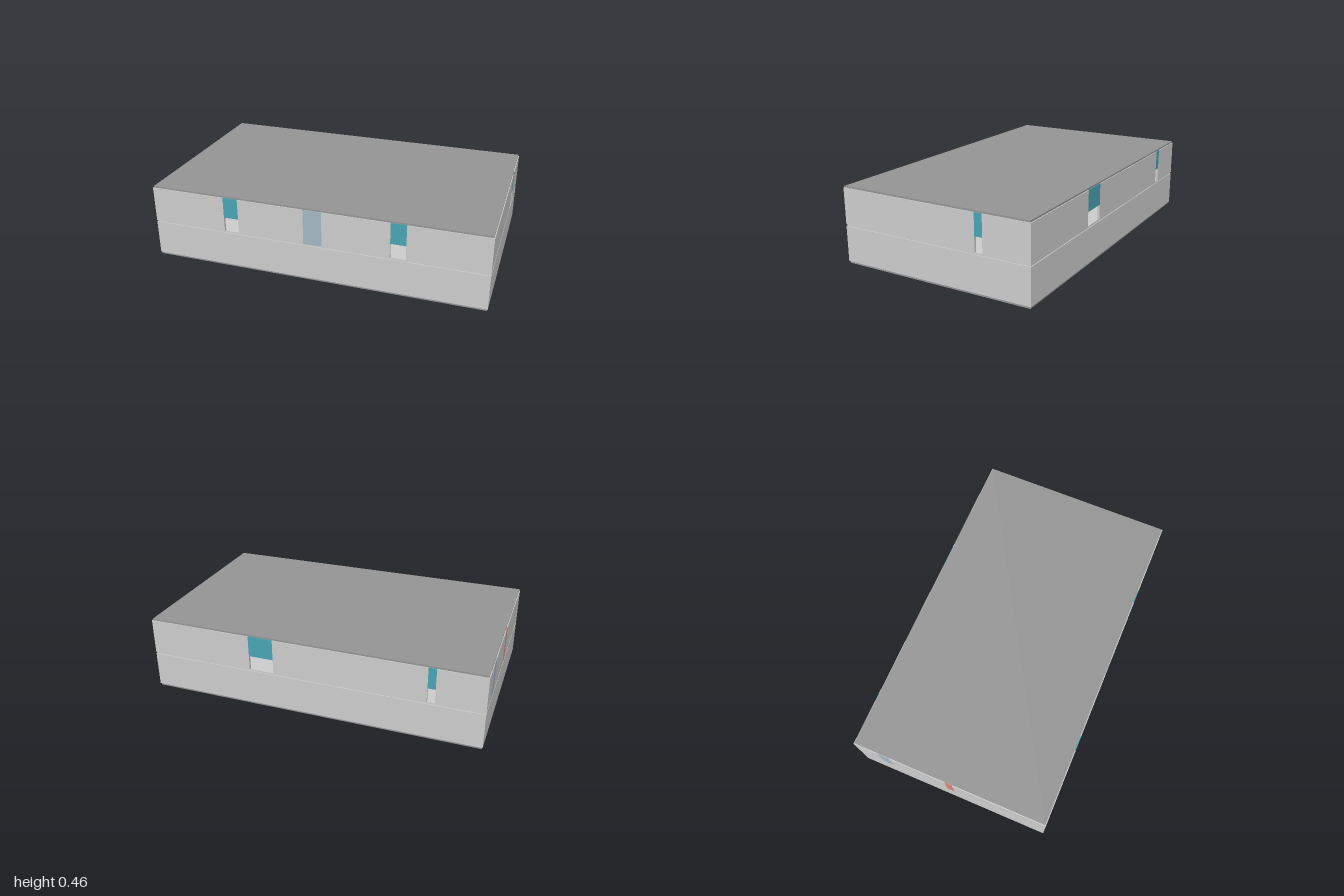
import * as THREE from 'three';

const mat = (color) => new THREE.MeshStandardMaterial({ color });
const MATS = {
  wall: mat(0xcccccc), slab: mat(0x949494), teal: mat(0x48a3b3),
  glass: mat(0xa4b7c1), red: mat(0xd88078),
};
const HX = 1, HZ = 0.594, T = 0.015;           // half length, half depth, wall thickness
const INSET = 0.005, LINTEL = 0.32;            // slab setback, height of door heads
const LOWER = [0.012, 0.222], UPPER = [0.232, 0.445];

// Box given by its lower and upper limits on each axis
function box(name, material, [x0, x1], [y0, y1], [z0, z1]) {
  const mesh = new THREE.Mesh(new THREE.BoxGeometry(x1 - x0, y1 - y0, z1 - z0), material);
  mesh.position.set((x0 + x1) / 2, (y0 + y1) / 2, (z0 + z1) / 2);
  mesh.name = name;
  return mesh;
}

// Wall running along local x with its outer face at +z; bays are sorted by start
function wall(name, half, reach, level, bays, angle) {
  const group = new THREE.Group();
  group.name = name;
  const depth = [reach - T, reach];
  let start = -half;
  for (const { from, to, kind } of bays) {
    group.add(box('wallSection', MATS.wall, [start, from], level, depth));
    if (kind === 'door') {
      group.add(box('doorHead', MATS.teal, [from, to], [LINTEL, level[1]], depth));
    } else {
      group.add(box(kind + 'Panel', MATS[kind], [from, to], level, depth));
    }
    start = to;
  }
  group.add(box('wallSection', MATS.wall, [start, half], level, depth));
  group.rotation.y = angle;
  return group;
}

// Four walls closing one storey
function storey(name, level, bays) {
  const group = new THREE.Group();
  group.name = name;
  group.add(
    wall('frontWall', HX, HZ, level, bays.front, 0),
    wall('backWall', HX, HZ, level, bays.back, Math.PI),
    wall('sideWallPlusX', HZ - T, HX, level, bays.plusX, Math.PI / 2),
    wall('sideWallMinusX', HZ - T, HX, level, bays.minusX, -Math.PI / 2),
  );
  return group;
}

export function createModel() {
  const model = new THREE.Group();
  model.name = 'building';

  // Slabs, set back slightly so they read as shadow lines
  const sx = [-HX + INSET, HX - INSET], sz = [-HZ + INSET, HZ - INSET];
  model.add(
    box('baseSlab', MATS.slab, sx, [0, LOWER[0]], sz),
    box('upperFloor', MATS.wall, sx, [LOWER[1], UPPER[0]], sz),
    box('roofSlab', MATS.slab, sx, [UPPER[1], 0.455], sz),
  );

  // Closed lower storey
  model.add(storey('lowerStorey', LOWER, { front: [], back: [], plusX: [], minusX: [] }));

  // Upper storey with doorways and coloured panels
  model.add(storey('upperStorey', UPPER, {
    front: [
      { from: -0.545, to: -0.455, kind: 'door' },
      { from: -0.055, to: 0.055, kind: 'glass' },
      { from: 0.45, to: 0.54, kind: 'door' },
    ],
    back: [
      { from: -0.37, to: -0.22, kind: 'door' },
      { from: 0.68, to: 0.725, kind: 'door' },
    ],
    plusX: [{ from: 0.27, to: 0.317, kind: 'door' }],
    minusX: [
      { from: -0.44, to: -0.365, kind: 'glass' },
      { from: -0.02, to: 0.025, kind: 'red' },
    ],
  }));

  // Low platform inside, glimpsed through the front doorways
  model.add(box('innerPlatform', MATS.slab, [-0.52, 0.515], [UPPER[0], 0.28], [-0.2, 0.2]));

  return model;
}
